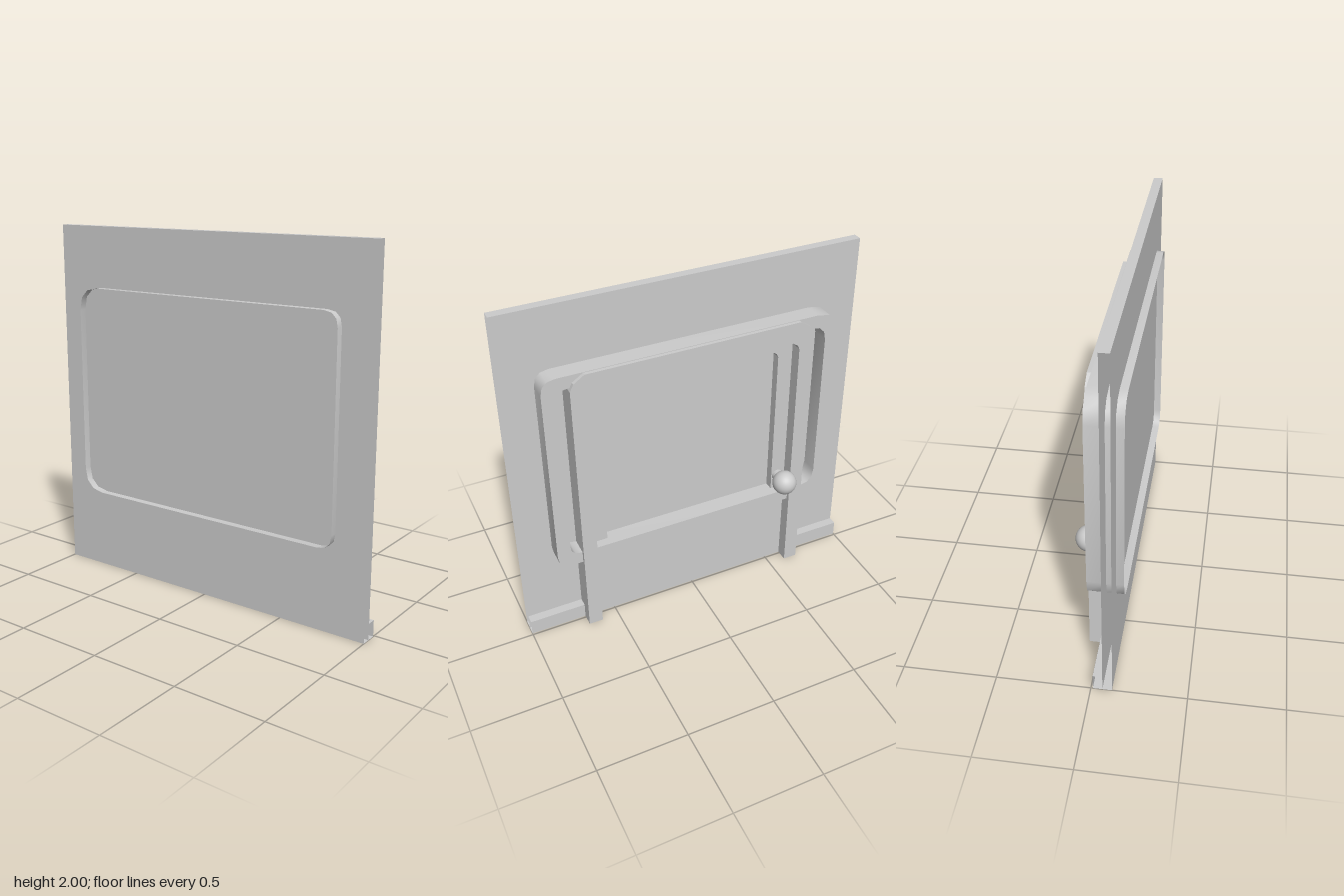
import * as THREE from 'three';
import { toCreasedNormals } from 'three/addons/utils/BufferGeometryUtils.js';

const material = new THREE.MeshStandardMaterial({ color: 0xcccccc, side: THREE.DoubleSide });

// Outline with four rounded corners; u runs towards -z, v runs up
function trace(path, u0, u1, v0, v1, left, right) {
  path.moveTo(u0 + left, v0);
  path.lineTo(u1 - right, v0);
  path.quadraticCurveTo(u1, v0, u1, v0 + right);
  path.lineTo(u1, v1 - right);
  path.quadraticCurveTo(u1, v1, u1 - right, v1);
  path.lineTo(u0 + left, v1);
  path.quadraticCurveTo(u0, v1, u0, v1 - left);
  path.lineTo(u0, v0 + left);
  path.quadraticCurveTo(u0, v0, u0 + left, v0);
  return path;
}

// Extrude an outline in the wall plane from x0 to x1
function extrudeX(shape, x0, x1) {
  const g = new THREE.ExtrudeGeometry(shape, { depth: x1 - x0, bevelEnabled: false, curveSegments: 3 });
  return g.rotateY(Math.PI / 2).translate(x0, 0, 0);
}

// Keep only the side walls of an extrusion
function sidesOnly(g) {
  const { start, count } = g.groups[1];
  const out = new THREE.BufferGeometry();
  const p = g.attributes.position.array.slice(start * 3, (start + count) * 3);
  out.setAttribute('position', new THREE.BufferAttribute(p, 3));
  out.computeVertexNormals();
  return out;
}

// Box whose two z ends are open
function openBox(x0, x1, y0, y1, z0, z1) {
  const g = new THREE.BoxGeometry(x1 - x0, y1 - y0, z1 - z0);
  g.setIndex(Array.from(g.index.array).slice(0, 24));
  g.clearGroups();
  return g.translate((x0 + x1) / 2, (y0 + y1) / 2, (z0 + z1) / 2);
}

// Upright outline with clipped top corners, standing on v0
function archPoints(half, v0, top, corner) {
  const k = corner * 0.25;
  return [
    [-half, v0], [-half, top - corner], [-half + k, top - corner * 0.5], [-half + corner, top],
    [half - corner, top], [half - k, top - corner * 0.5], [half, top - corner], [half, v0],
  ].map(([u, v]) => new THREE.Vector2(u, v));
}

export function createModel() {
  const model = new THREE.Group();
  const add = (name, geometry) => {
    const mesh = new THREE.Mesh(geometry, material);
    mesh.name = name;
    model.add(mesh);
    return mesh;
  };

  // Wall slab and the two skirting boards beside the door
  add('wall', openBox(-0.11, -0.06, 0, 2, -1, 1));
  for (const s of [-1, 1]) {
    add('baseboard', openBox(-0.06, -0.01, 0, 0.09, Math.min(s * 0.68, s), Math.max(s * 0.68, s)));
  }

  // Rounded surround: ring in front, thin rim through to the back
  const ring = trace(new THREE.Shape(), -0.82, 0.845, 0.465, 1.66, 0.08, 0.13);
  ring.holes.push(trace(new THREE.Path(), -0.745, 0.77, 0.535, 1.59, 0.06, 0.09));
  add('surround', toCreasedNormals(extrudeX(ring, -0.06, 0.04), 0.7));
  const rim = trace(new THREE.Shape(), -0.82, 0.845, 0.465, 1.66, 0.08, 0.13);
  add('backRim', toCreasedNormals(sidesOnly(extrudeX(rim, -0.15, -0.06)), 0.7));

  // Door frame: two posts joined by a header
  const frame = new THREE.Shape([
    ...archPoints(0.68, 0, 1.657, 0.08),
    ...archPoints(0.6, 0, 1.545, 0.05).reverse(),
  ]);
  add('doorFrame', extrudeX(frame, -0.06, 0.06));

  // Door leaf with a recessed window
  const leaf = new THREE.Shape(archPoints(0.61, 0, 1.56, 0.05));
  leaf.holes.push(new THREE.Path(archPoints(0.515, 0.5, 1.475, 0.045)));
  add('doorLeaf', extrudeX(leaf, -0.06, -0.01));

  // Knob on a short stem
  const stem = add('knobStem', new THREE.CylinderGeometry(0.035, 0.035, 0.08, 20));
  stem.rotation.z = Math.PI / 2;
  stem.position.set(0.03, 0.625, -0.555);
  add('knob', new THREE.SphereGeometry(0.07, 28, 18)).position.set(0.075, 0.625, -0.555);

  return model;
}
